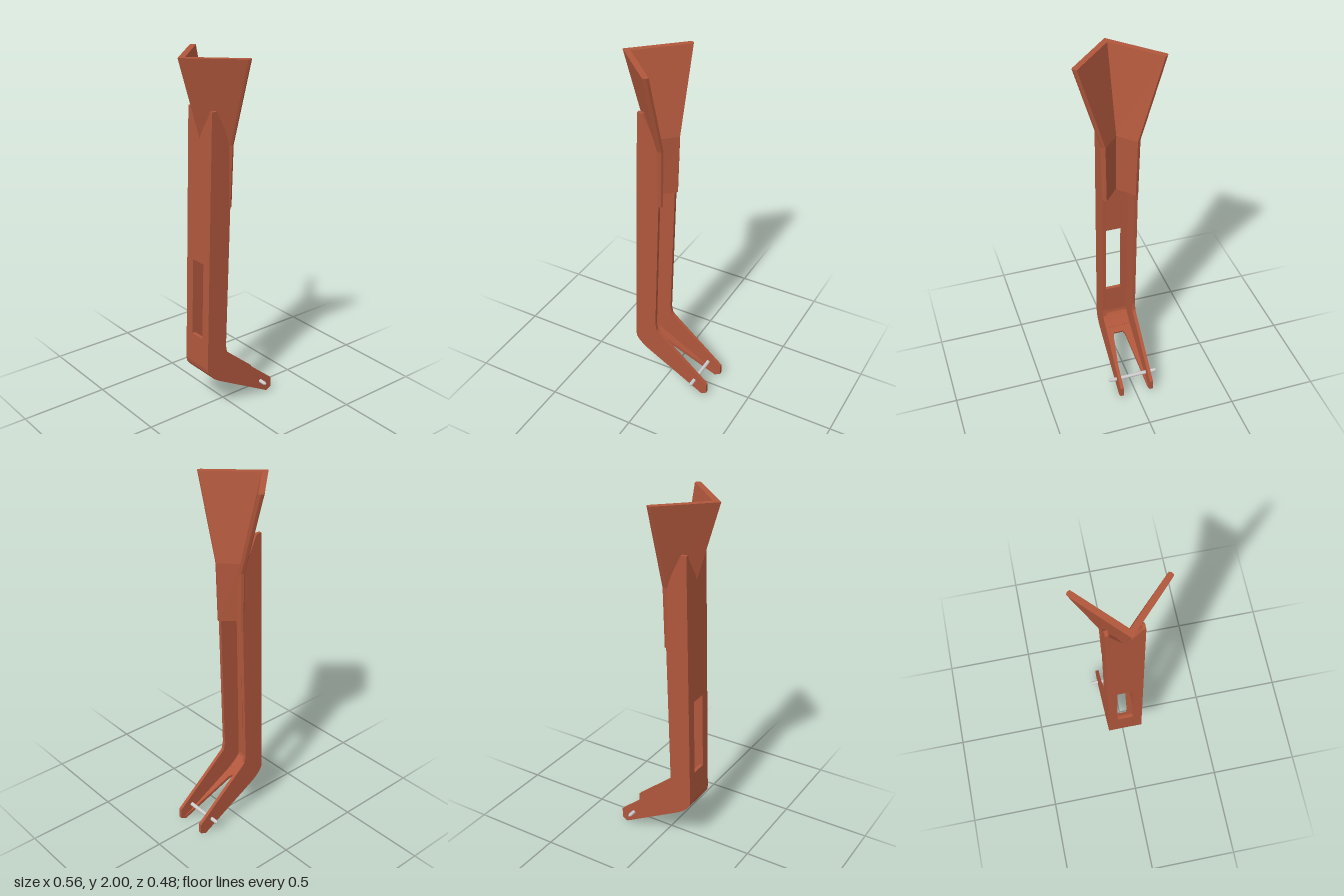
import * as THREE from 'three';

const paint = new THREE.MeshStandardMaterial({ color: 0xb0573c });
const steel = new THREE.MeshStandardMaterial({ color: 0xcccccc });
const toShape = (pts) => new THREE.Shape(pts.map(([x, y]) => new THREE.Vector2(x, y)));

function part(name, geometry, material = paint) {
  const mesh = new THREE.Mesh(geometry, material);
  mesh.name = name;
  return mesh;
}

// Extrude an x-y profile along z, starting at z0
function slab(pts, z0, depth) {
  return new THREE.ExtrudeGeometry(toShape(pts), { depth, bevelEnabled: false }).translate(0, 0, z0);
}

// Flat plate drawn across z and along the line p0 -> p1, thickened to the inside of the leg
function plate(shape, p0, p1, depth) {
  const d = new THREE.Vector3(p1[0] - p0[0], p1[1] - p0[1], 0).normalize();
  const across = new THREE.Vector3(0, 0, -1);
  const m = new THREE.Matrix4().makeBasis(across, d, across.clone().cross(d)).setPosition(p0[0], p0[1], 0);
  return new THREE.ExtrudeGeometry(shape, { depth, bevelEnabled: false }).applyMatrix4(m);
}

// Closed V-shaped section: outer apex, left wing, inner apex, right wing
function veeSection(y, apex, w, shift) {
  const wing = [[-0.03, w - 0.006], [-0.019, w], [-0.006, w - 0.007], [0, w - 0.02]];
  return [
    [apex, 0],
    ...wing,
    [apex + 0.046, 0],
    ...wing.map(([x, z]) => [x, -z]).reverse(),
  ].map(([x, z]) => [x + shift, y, z]);
}

// Skin the sections from bottom to top and close both ends
function loftVee(sections) {
  const pos = [];
  const tri = (a, b, c) => pos.push(...a, ...b, ...c);
  const n = sections[0].length;
  for (let s = 0; s < sections.length - 1; s++) {
    const a = sections[s], b = sections[s + 1];
    for (let i = 0; i < n; i++) {
      const j = (i + 1) % n;
      tri(a[i], b[j], b[i]);
      tri(a[i], a[j], b[j]);
    }
  }
  const low = sections[0], top = sections[sections.length - 1];
  for (let i = 0; i < n; i++) {
    const j = (i + 1) % n;
    if (i === 5 || j === 5) continue;
    tri(top[5], top[i], top[j]);
    tri(low[5], low[j], low[i]);
  }
  const g = new THREE.BufferGeometry();
  g.setAttribute('position', new THREE.Float32BufferAttribute(pos, 3));
  g.computeVertexNormals();
  return g;
}

export function createModel() {
  const model = new THREE.Group();
  model.name = 'bracketLeg';

  // Pair of bent side plates
  const heel = [[-0.182, 0.29], [-0.178, 0.265], [-0.162, 0.243], [-0.135, 0.217], [-0.105, 0.197]];
  const side = [
    [-0.145, 1.73], ...heel, [0.245, 0.005], [0.277, 0.022], [0.277, 0.08],
    [-0.035, 0.343], [-0.047, 0.358], [-0.055, 0.4], [-0.028, 1.2], [-0.033, 1.545],
    [-0.06, 1.62], [-0.113, 1.73],
  ];
  model.add(part('leftSidePlate', slab(side, 0.079, 0.019)));
  model.add(part('rightSidePlate', slab(side, -0.098, 0.019)));

  // Back web with a long slot and a notched top that receives the vee
  const web = toShape([[-0.08, 0], [0.08, 0], [0.08, 1.43], [0, 1.3], [-0.08, 1.43]]);
  web.holes.push(new THREE.Path([[-0.045, 0.17], [-0.045, 0.61], [0.045, 0.61], [0.045, 0.17]]
    .map(([x, y]) => new THREE.Vector2(x, y))));
  model.add(part('backWeb', plate(web, heel[0], [-0.145, 1.73], 0.02)));

  // Rounded heel strip joining the web to the arm floor
  const inner = [[-0.162, 0.29], [-0.159, 0.272], [-0.148, 0.258], [-0.123, 0.234], [-0.095, 0.215]];
  model.add(part('heelStrip', slab([...heel, ...inner.reverse()], -0.08, 0.16)));

  // Arm floor, opened by a tapering notch into a fork
  const floor = toShape([
    [-0.08, 0], [-0.078, 0], [-0.037, 0.338], [-0.028, 0.36], [0.028, 0.36], [0.037, 0.338],
    [0.078, 0], [0.08, 0], [0.08, 0.4], [-0.08, 0.4],
  ]);
  model.add(part('armFloor', plate(floor, [0.245, 0.005], heel[4], 0.018)));

  // Flared vee-shaped cradle at the top
  model.add(part('veeCradle', loftVee([
    veeSection(1.205, -0.137, 0.1, -0.01),
    veeSection(1.54, -0.137, 0.106, -0.002),
    veeSection(2, -0.277, 0.242, -0.001),
  ])));

  // Cross pin with stepped ends
  const pin = new THREE.LatheGeometry([
    [0, -0.147], [0.004, -0.147], [0.006, -0.144], [0.006, -0.137], [0.0105, -0.137],
    [0.0105, 0.137], [0.006, 0.137], [0.006, 0.144], [0.004, 0.147], [0, 0.147],
  ].map(([r, y]) => new THREE.Vector2(r, y)), 20).rotateX(Math.PI / 2).translate(0.198, 0.085, 0);
  model.add(part('crossPin', pin, steel));

  return model;
}
